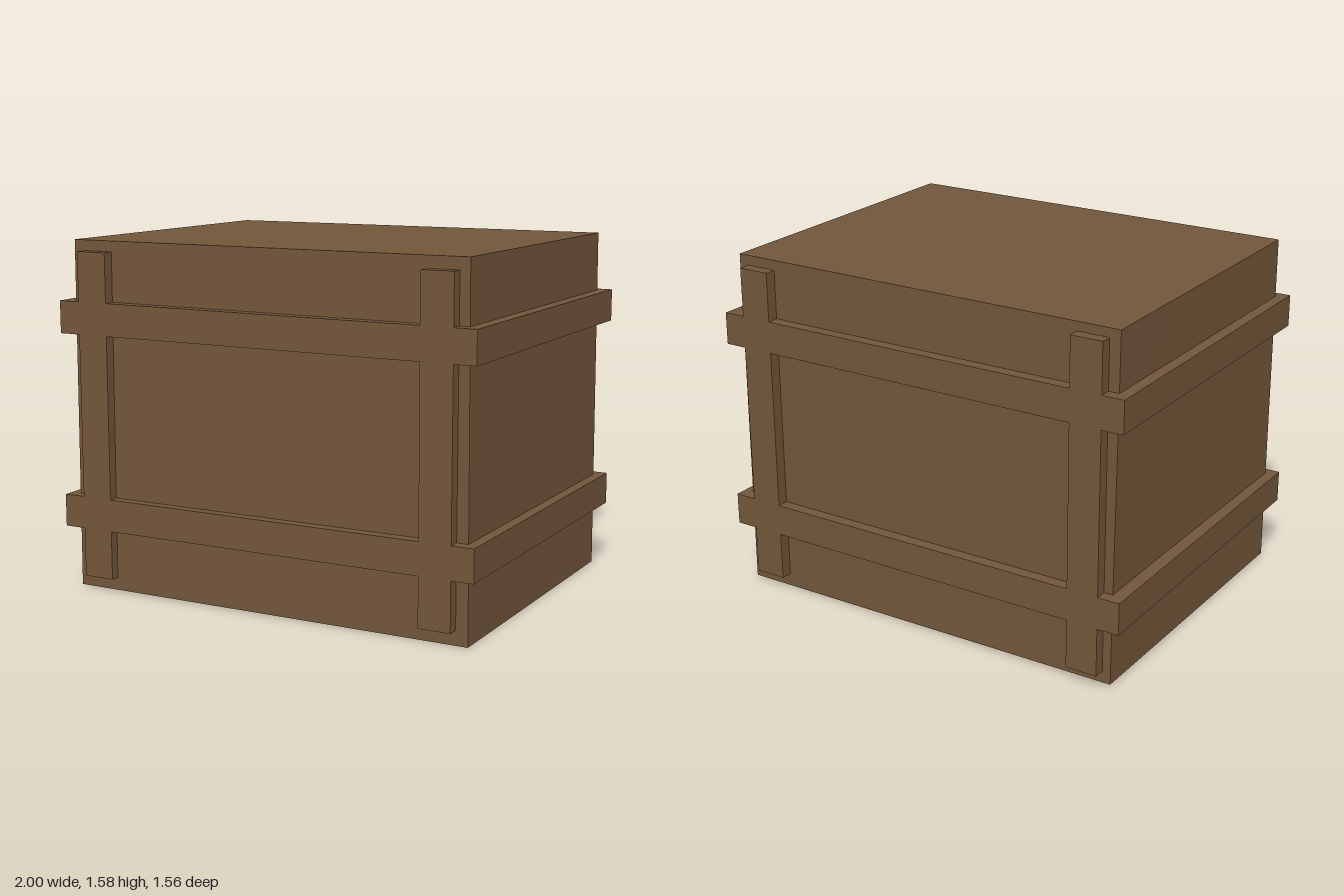
import * as THREE from 'three';

const BANDS = [[0.285, 0.43], [1.16, 1.305]];
const POST_SPANS = [[0.065, 0.285], [0.43, 1.16], [1.305, 1.525]];

export function createModel() {
  const group = new THREE.Group();
  const wood = new THREE.MeshStandardMaterial({ color: 0x72563a });
  wood.name = 'brown wood';

  // axis-aligned board given by its limits
  const board = (name, parent, [x0, x1], [y0, y1], [z0, z1]) => {
    const mesh = new THREE.Mesh(new THREE.BoxGeometry(x1 - x0, y1 - y0, z1 - z0), wood);
    mesh.position.set((x0 + x1) / 2, (y0 + y1) / 2, (z0 + z1) / 2);
    mesh.name = name;
    parent.add(mesh);
    return mesh;
  };

  // crate body, its corners slightly out of true
  const body = new THREE.BoxGeometry(2, 2, 2);
  const p = body.attributes.position;
  for (let i = 0; i < p.count; i++) {
    const x = p.getX(i), y = p.getY(i), z = p.getZ(i);
    p.setXYZ(i,
      0.95 * x + (x > 0 ? -0.005 * y : 0) + (x < 0 && y < 0 && z < 0 ? 0.012 : 0),
      y > 0 ? 1.571 + 0.003 * x + 0.004 * z : 0.006 - 0.004 * x - 0.002 * z,
      0.727 * z + (x < 0 && y < 0 && z > 0 ? 0.012 : 0));
  }
  body.computeVertexNormals();
  const crate = new THREE.Mesh(body, wood);
  crate.name = 'crateBody';
  group.add(crate);

  // horizontal bands all the way round
  BANDS.forEach((span, i) =>
    board(i ? 'upperBand' : 'lowerBand', group, [-1, 1], span, [-0.78, 0.78]));

  // upright battens on front and back, flush with the bands
  for (const sz of [1, -1]) for (const sx of [1, -1]) {
    const batten = new THREE.Group();
    batten.name = (sz > 0 ? 'front' : 'back') + (sx > 0 ? 'Left' : 'Right') + 'Batten';
    const xs = sx > 0 ? [0.755, 0.9] : [-0.9, -0.755];
    const zs = sz > 0 ? [0.68, 0.78] : [-0.78, -0.68];
    POST_SPANS.forEach((span) => board('battenPiece', batten, xs, span, zs));
    group.add(batten);
  }
  return group;
}
